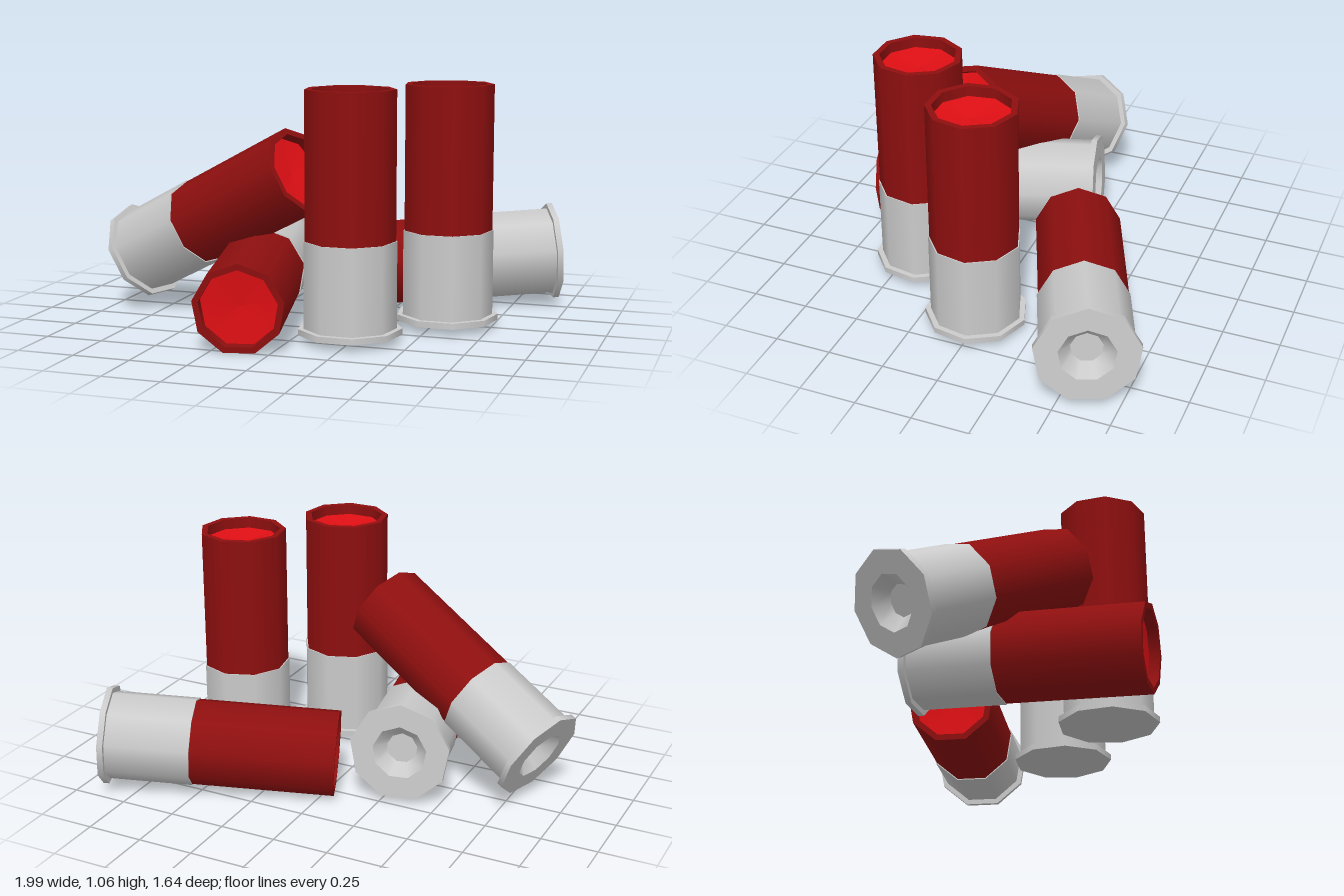
import * as THREE from 'three';
import { mergeGeometries } from 'three/addons/utils/BufferGeometryUtils.js';

const SIDES = 9;
const LENGTH = 1.025;

// Turns a profile into nine-sided bands: smooth around, sharp between bands
function bands(profile) {
  const parts = [];
  for (let i = 0; i < profile.length - 1; i++) {
    const pair = [profile[i], profile[i + 1]].map(([r, y]) => new THREE.Vector2(r, y));
    parts.push(new THREE.LatheGeometry(pair, SIDES));
  }
  return mergeGeometries(parts);
}

function part(name, profile, material) {
  const mesh = new THREE.Mesh(bands(profile), material);
  mesh.name = name;
  return mesh;
}

export function createModel() {
  const metal = new THREE.MeshStandardMaterial({ color: 0xcccccc });
  const casing = new THREE.MeshStandardMaterial({ color: 0x8f0f0f });
  const filling = new THREE.MeshStandardMaterial({ color: 0xe00f14 });

  // Metal cup with its rim; the base is flat or has a primer dish
  const cupSide = [[0.222, 0], [0.222, 0.026], [0.198, 0.026], [0.198, 0.395], [0.192, 0.395]];
  const flatBase = [[0, 0]];
  const dishBase = [[0, 0.06], [0.068, 0.06], [0.12, 0]];

  // Tube with an inward lip, and the plug sunk inside its mouth
  const tube = [[0.193, 0.395], [0.193, LENGTH], [0.166, LENGTH], [0.166, LENGTH - 0.046]];
  const plug = [[0.166, LENGTH - 0.046], [0, LENGTH - 0.06]];

  // Places a cartridge from base centre to mouth centre; one corner points to "up"
  function cartridge(name, base, mouth, up, dished) {
    const group = new THREE.Group();
    group.name = name;
    group.add(
      part('metalCup', [...(dished ? dishBase : flatBase), ...cupSide], metal),
      part('tube', tube, casing),
      part('plug', plug, filling)
    );
    const start = new THREE.Vector3(...base);
    const axis = new THREE.Vector3(...mouth).sub(start).normalize();
    const side = new THREE.Vector3().crossVectors(axis, new THREE.Vector3(...up)).normalize();
    const corner = new THREE.Vector3().crossVectors(side, axis);
    group.quaternion.setFromRotationMatrix(new THREE.Matrix4().makeBasis(side, axis, corner));
    group.position.copy(start);
    return group;
  }

  const model = new THREE.Group();
  model.name = 'cartridges';
  const up = [0, 1, 0];
  const back = [0, 0, -1];
  model.add(
    cartridge('standingFront', [0.235, 0.035, 0.405], [0.235, 1.06, 0.405], back, false),
    cartridge('standingBack', [0.556, 0.035, 0.015], [0.556, 1.06, 0.015], back, false),
    cartridge('lyingBack', [0.91, 0.245, -0.617], [-0.03, 0.185, -0.233], up, true),
    cartridge('lyingFront', [-0.334, 0.245, -0.225], [-0.123, 0.187, 0.77], up, true),
    cartridge('leaning', [-0.888, 0.248, 0.015], [-0.016, 0.7, 0.305], up, true)
  );
  return model;
}
